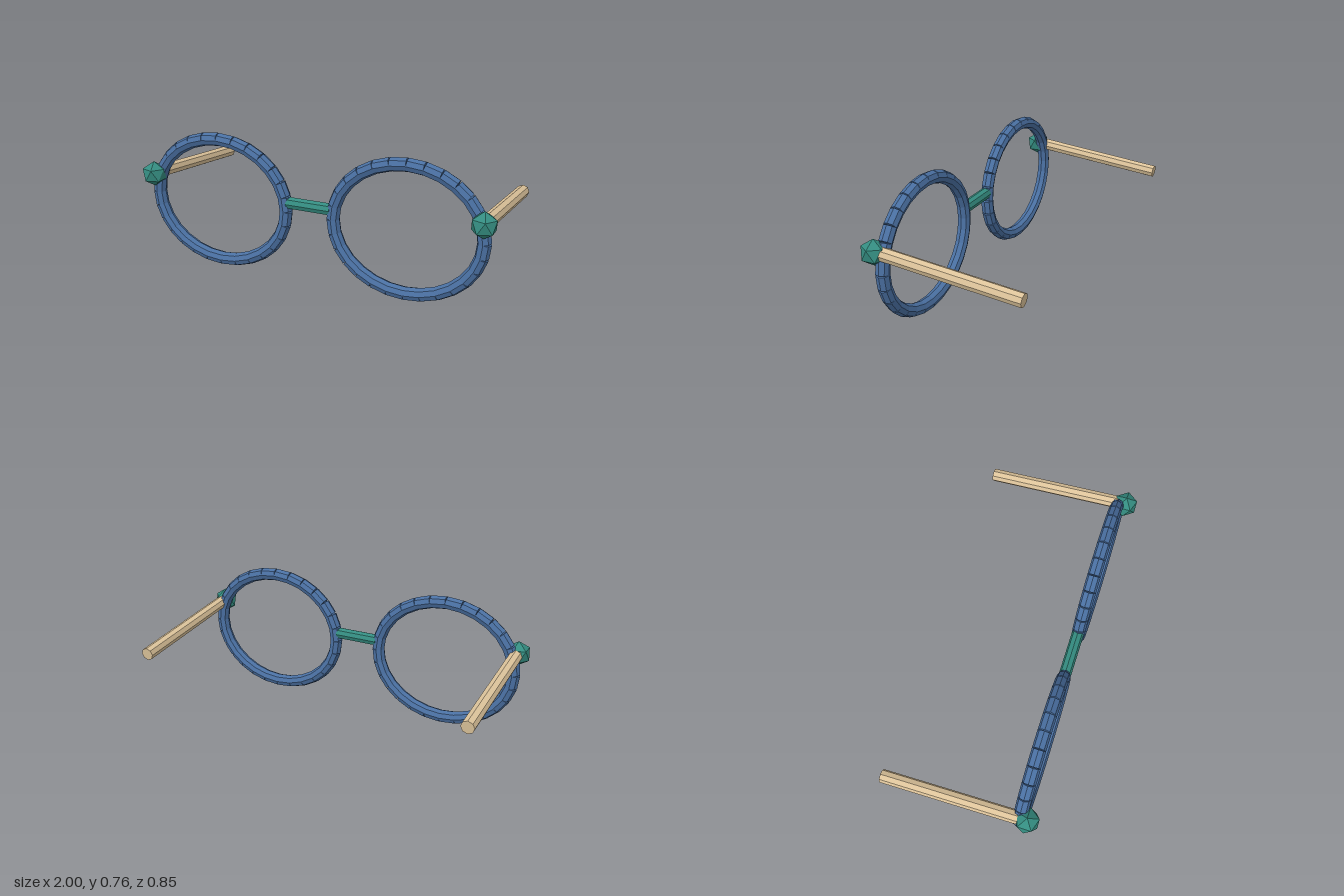
import * as THREE from 'three';

const BLUE = new THREE.MeshStandardMaterial({ color: 0x4a70a2, flatShading: true });
const TEAL = new THREE.MeshStandardMaterial({ color: 0x348c80, flatShading: true });
const TAN = new THREE.MeshStandardMaterial({ color: 0xdcc39a, flatShading: true });

// Eight-sided rod running from point a to point b
function rod(name, a, b, radius, material) {
  const dir = b.clone().sub(a);
  const mesh = new THREE.Mesh(new THREE.CylinderGeometry(radius, radius, dir.length(), 8), material);
  mesh.name = name;
  mesh.position.copy(a).add(b).multiplyScalar(0.5);
  mesh.quaternion.setFromUnitVectors(new THREE.Vector3(0, 1, 0), dir.normalize());
  return mesh;
}

// Oval rim made of short straight rods set end to end
function rim(name, cx) {
  const group = new THREE.Group();
  group.name = name;
  const count = 28;
  const point = (i) => {
    const t = (i / count) * Math.PI * 2;
    return new THREE.Vector3(cx + 0.399 * Math.cos(t), 0.383 + 0.342 * Math.sin(t), 0.327);
  };
  for (let i = 0; i < count; i++) {
    group.add(rod('rimSegment', point(i), point(i + 1), 0.036, BLUE));
  }
  return group;
}

export function createModel() {
  const model = new THREE.Group();
  model.name = 'spectacles';

  // Bridge between the rims
  model.add(rod('bridge', new THREE.Vector3(-0.125, 0.43, 0.327), new THREE.Vector3(0.125, 0.43, 0.327), 0.033, TEAL));

  // Faceted hinge knob with one corner pointing straight up
  const knob = new THREE.IcosahedronGeometry(0.07, 0);
  knob.rotateZ(-Math.atan(2 / (1 + Math.sqrt(5))));

  for (const [side, s] of [['left', 1], ['right', -1]]) {
    model.add(rim(side + 'Rim', s * 0.535));

    const hinge = new THREE.Mesh(knob, TEAL);
    hinge.name = side + 'Hinge';
    hinge.position.set(s * 0.937, 0.492, 0.367);
    model.add(hinge);

    // Temple arm sloping down toward the back
    model.add(rod(side + 'Temple', new THREE.Vector3(s * 0.937, 0.493, 0.335),
      new THREE.Vector3(s * 0.937, 0.413, -0.421), 0.036, TAN));
  }
  return model;
}
